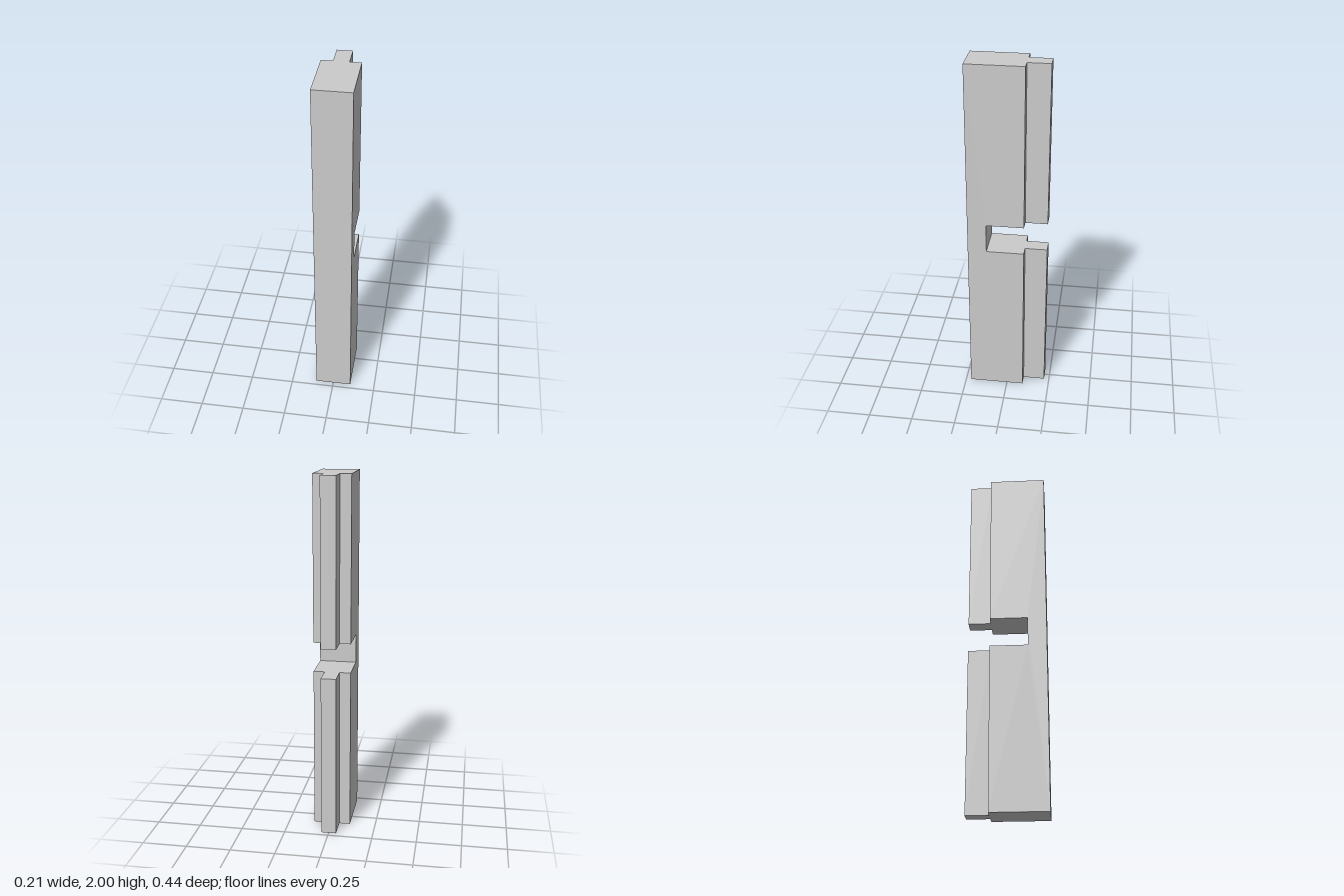
import * as THREE from 'three';

const HEIGHT = 2, BODY_W = 0.208, TONGUE_W = 0.084;
const FRONT = 0.22, SHOULDER = -0.095, BACK = -0.22;
const NOTCH = { bottom: 0.92, top: 1.085, depthZ: 0.115 };

export function createModel() {
  const group = new THREE.Group();
  group.name = 'notchedPost';
  const material = new THREE.MeshStandardMaterial({ color: 0xcccccc, flatShading: true });

  // Main post: side profile (z, y) with the notch cut from the back, extruded across x
  const profile = new THREE.Shape([
    [SHOULDER, 0], [FRONT, 0], [FRONT, HEIGHT], [SHOULDER, HEIGHT],
    [SHOULDER, NOTCH.top], [NOTCH.depthZ, NOTCH.top],
    [NOTCH.depthZ, NOTCH.bottom], [SHOULDER, NOTCH.bottom],
  ].map(([z, y]) => new THREE.Vector2(z, y)));
  const bodyGeometry = new THREE.ExtrudeGeometry(profile, { depth: BODY_W, bevelEnabled: false });
  bodyGeometry.translate(0, 0, -BODY_W / 2).rotateY(-Math.PI / 2);
  const body = new THREE.Mesh(bodyGeometry, material);
  body.name = 'post';
  group.add(body);

  // Narrow tongue along the back, interrupted by the notch
  for (const [name, y0, y1] of [['lowerTongue', 0, NOTCH.bottom], ['upperTongue', NOTCH.top, HEIGHT]]) {
    const tongue = new THREE.Mesh(new THREE.BoxGeometry(TONGUE_W, y1 - y0, SHOULDER - BACK), material);
    tongue.position.set(0, (y0 + y1) / 2, (SHOULDER + BACK) / 2);
    tongue.name = name;
    group.add(tongue);
  }
  return group;
}
